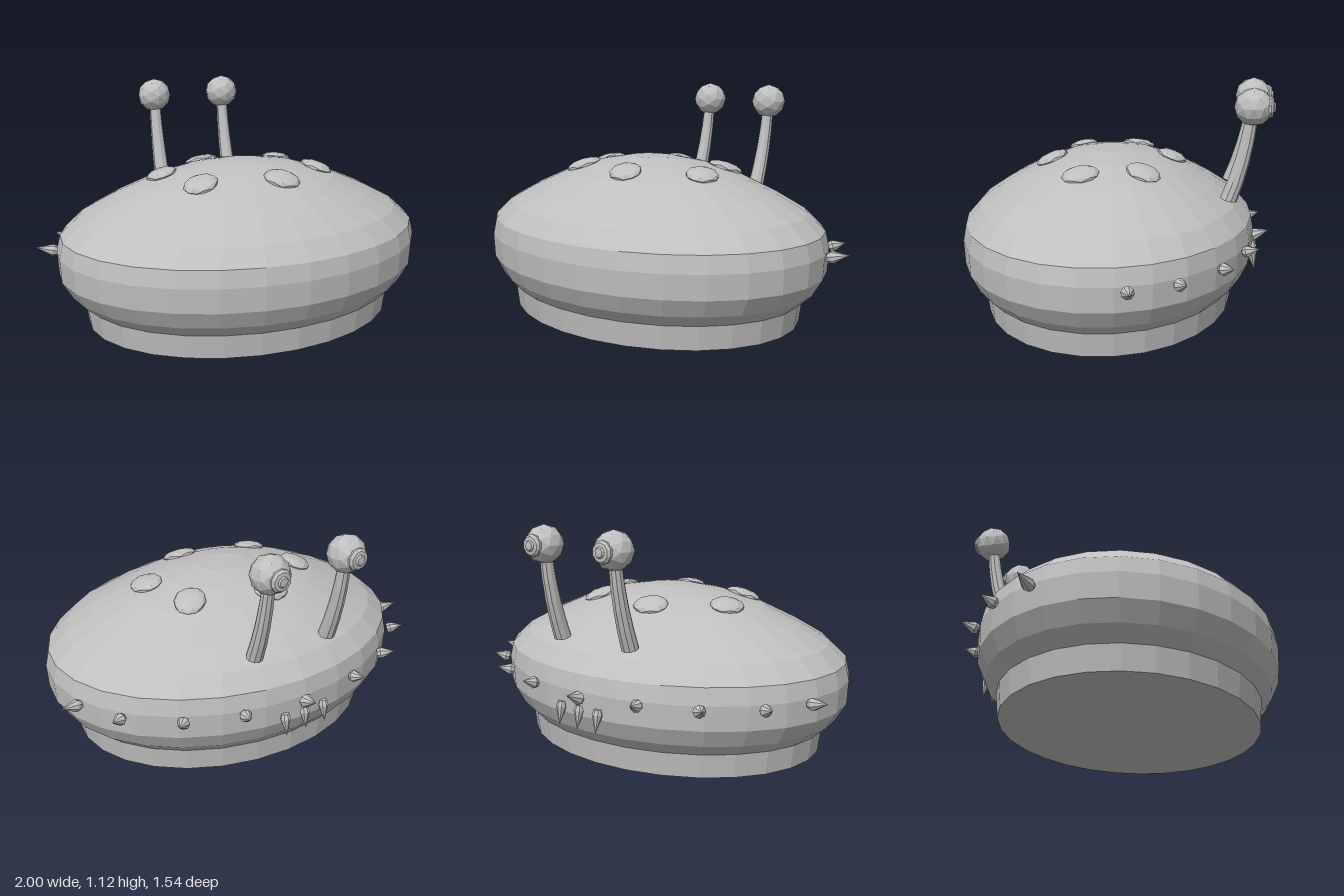
import * as THREE from 'three';

const grey = new THREE.MeshStandardMaterial({ color: 0xbfbfbf, flatShading: true });
grey.name = 'plain grey';

const CENTER_Z = 0.04; // shell centre
const STRETCH = 1.285; // shell is wider than deep
// shell profile: [depth radius, height]
const PROFILE = [
  [0, 0], [0.62, 0], [0.632, 0.115], [0.685, 0.175], [0.725, 0.26], [0.73, 0.375],
  [0.715, 0.455], [0.645, 0.535], [0.53, 0.612], [0.385, 0.692], [0.235, 0.748], [0.1, 0.777], [0, 0.78],
];

// height of the dome above a point
function domeHeight(x, z) {
  const r = Math.hypot(x / STRETCH, z - CENTER_Z);
  for (let i = 6; i < PROFILE.length - 1; i++) {
    const [r0, y0] = PROFILE[i], [r1, y1] = PROFILE[i + 1];
    if (r <= r0 && r >= r1) return y0 + ((y1 - y0) * (r0 - r)) / (r0 - r1);
  }
  return PROFILE[6][1];
}

function add(parent, name, geometry) {
  const mesh = new THREE.Mesh(geometry, grey);
  mesh.name = name;
  parent.add(mesh);
  return mesh;
}

// cone with a rounded root, from base to tip
function spike(parent, name, base, tip, radius) {
  const a = new THREE.Vector3(...base), b = new THREE.Vector3(...tip);
  const dir = b.clone().sub(a), len = dir.length();
  const pts = [[0, 0], [radius * 0.75, 0], [radius, len * 0.22], [radius * 0.45, len * 0.65], [0, len]];
  const mesh = add(parent, name, new THREE.LatheGeometry(pts.map((p) => new THREE.Vector2(...p)), 8));
  mesh.position.copy(a);
  mesh.quaternion.setFromUnitVectors(new THREE.Vector3(0, 1, 0), dir.normalize());
}

export function createModel() {
  const model = new THREE.Group();
  model.name = 'shellCreature';

  // shell with base skirt
  const shell = new THREE.LatheGeometry(PROFILE.map((p) => new THREE.Vector2(...p)), 28);
  shell.scale(STRETCH, 1, 1).translate(0, 0, CENTER_Z);
  add(model, 'shell', shell);

  // spots on the dome
  const spots = [[-0.09, -0.265], [0.305, -0.165], [0.39, 0.12], [0.085, 0.325], [-0.3, 0.24], [-0.39, -0.055]];
  spots.forEach(([x, z], i) => {
    const spot = add(model, 'spot', new THREE.IcosahedronGeometry(1, 1));
    spot.scale.set(0.09, 0.03, 0.078);
    const e = 0.06;
    const normal = new THREE.Vector3(
      domeHeight(x - e, z) - domeHeight(x + e, z), 2 * e, domeHeight(x, z - e) - domeHeight(x, z + e)).normalize();
    spot.quaternion.setFromUnitVectors(new THREE.Vector3(0, 1, 0), normal);
    spot.rotateY(i * 0.9);
    spot.position.set(x, domeHeight(x, z) + 0.003, z);
  });

  for (const s of [-1, 1]) {
    const side = s > 0 ? 'left' : 'right';
    // eye stalk: tapered cylinder leaning back with a slight bend
    const stalk = new THREE.CylinderGeometry(0.03, 0.041, 0.4, 10, 4);
    const pos = stalk.attributes.position;
    for (let i = 0; i < pos.count; i++) {
      const t = pos.getY(i) / 0.4;
      pos.setZ(i, pos.getZ(i) + 0.05 * (t * t - 0.25));
    }
    stalk.rotateX(-0.24).translate(s * 0.205, 0.775, -0.612);
    add(model, side + 'Stalk', stalk);

    // eyeball with stepped pupil
    const eye = add(model, side + 'Eye', new THREE.IcosahedronGeometry(0.09, 1));
    eye.position.set(s * 0.205, 1.03, -0.667);
    const bump = [[0.052, 0], [0.052, 0.035], [0.042, 0.046], [0.026, 0.048], [0.02, 0.056], [0, 0.058]];
    const pupil = add(model, side + 'Pupil', new THREE.LatheGeometry(bump.map((p) => new THREE.Vector2(...p)), 10));
    pupil.rotation.x = -Math.PI / 2;
    pupil.position.set(s * 0.205, 1.03, -0.712);

    // rim spikes
    const rim = [[0.9, -0.175, 1.0, -0.2], [0.785, -0.375, 0.852, -0.42], [0.565, -0.55, 0.622, -0.61], [0.31, -0.645, 0.326, -0.722]];
    for (const [x, z, tx, tz] of rim) spike(model, side + 'Spike', [s * x, 0.355, z], [s * tx, 0.378, tz], 0.03);
  }
  spike(model, 'middleSpike', [0, 0.34, -0.67], [0, 0.376, -0.768], 0.034);

  // fangs below the middle spike
  for (const x of [-0.11, 0, 0.11]) spike(model, 'fang', [x, 0.31, -0.682], [x, 0.2, -0.703], 0.025);

  return model;
}
